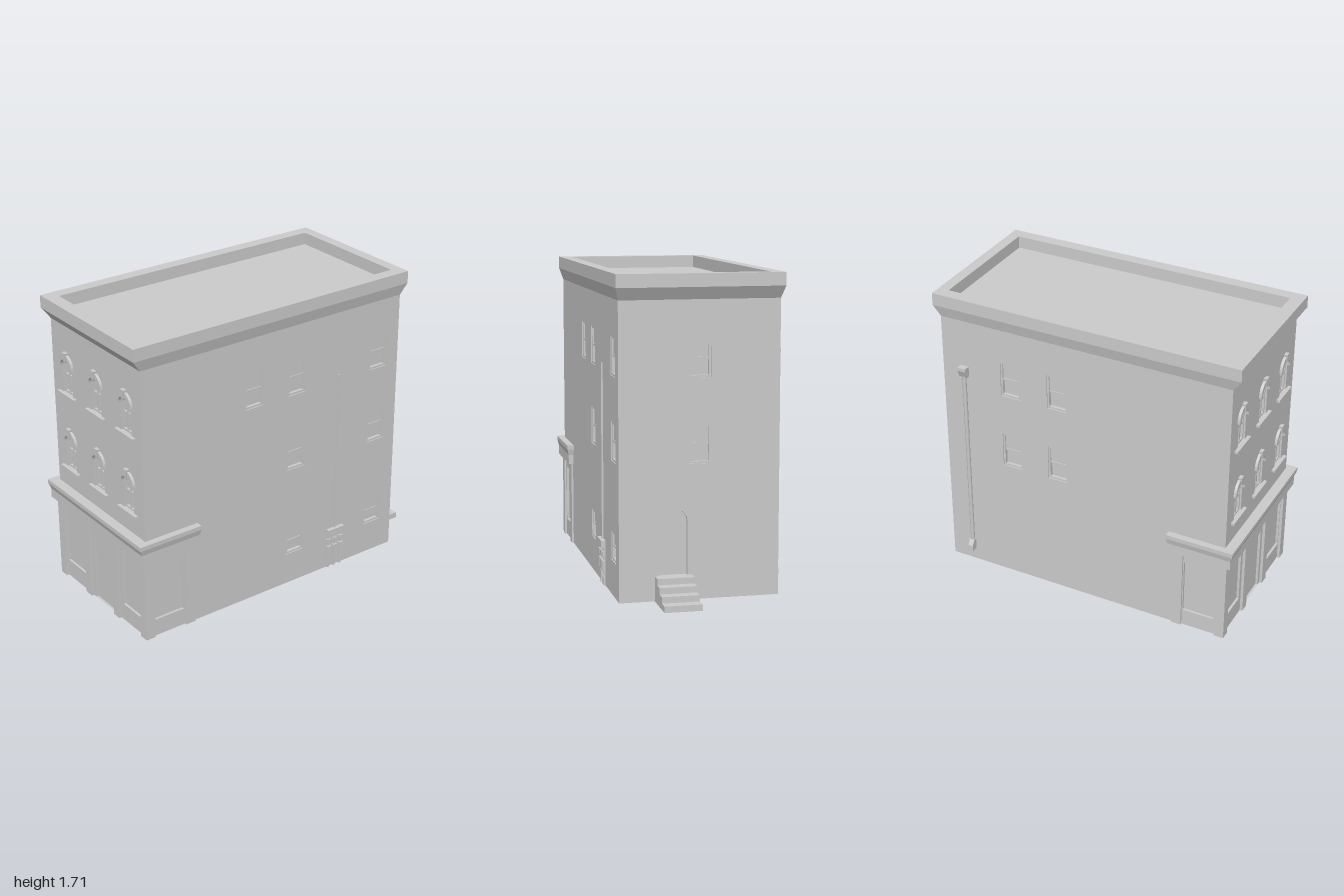
import * as THREE from 'three';

const mat = new THREE.MeshStandardMaterial({ color: 0xcccccc, side: THREE.DoubleSide });

function add(parent, name, geo, x = 0, y = 0, z = 0) {
  const m = new THREE.Mesh(geo, mat);
  m.name = name;
  m.position.set(x, y, z);
  parent.add(m);
  return m;
}

// Box given by its minimum and maximum on each axis
function block(parent, name, x0, x1, y0, y1, z0, z1) {
  return add(parent, name, new THREE.BoxGeometry(x1 - x0, y1 - y0, z1 - z0),
    (x0 + x1) / 2, (y0 + y1) / 2, (z0 + z1) / 2);
}

function poly(pts) {
  return new THREE.Shape(pts.map(p => new THREE.Vector2(p[0], p[1])));
}
const rect = (x0, x1, y0, y1) => poly([[x0, y0], [x1, y0], [x1, y1], [x0, y1]]);

// Round-headed opening: straight sides up to yc, half circle above
function arch(x, r, y0, yc) {
  const pts = [[x - r, y0], [x + r, y0]];
  for (let i = 0; i <= 14; i++) {
    const a = Math.PI * i / 14;
    pts.push([x + r * Math.cos(a), yc + r * Math.sin(a)]);
  }
  return poly(pts);
}

// Flat slab whose outer face lies at z = front
function slab(parent, name, shape, holes, depth, front = 0) {
  shape.holes = holes;
  return add(parent, name, new THREE.ExtrudeGeometry(shape, { depth, bevelEnabled: false }), 0, 0, front - depth);
}

// Skin through rectangular rings [x, zBack, zFront, y], with optional top cap
function loft(parent, name, rings, cap) {
  const pos = [];
  const corners = ([x, zb, zf, y]) => [[-x, y, zf], [x, y, zf], [x, y, zb], [-x, y, zb]];
  const quad = (a, b, c, d) => pos.push(...a, ...b, ...c, ...a, ...c, ...d);
  for (let i = 0; i + 1 < rings.length; i++) {
    const lo = corners(rings[i]), hi = corners(rings[i + 1]);
    for (let k = 0; k < 4; k++) quad(lo[k], lo[(k + 1) % 4], hi[(k + 1) % 4], hi[k]);
  }
  if (cap) quad(...corners(rings[rings.length - 1]));
  const g = new THREE.BufferGeometry();
  g.setAttribute('position', new THREE.Float32BufferAttribute(pos, 3));
  g.computeVertexNormals();
  return add(parent, name, g);
}

// Wall frame: local x runs along the wall, local z points outward
function side(parent, name, angle, x, z) {
  const g = new THREE.Group();
  g.name = name;
  g.rotation.y = angle;
  g.position.set(x, 0, z);
  parent.add(g);
  return g;
}

// Plain sash window set into its opening
function sashWindow(wall, x, y0, y1) {
  const w = 0.06, b = 0.011, ym = (y0 + y1) / 2;
  slab(wall, 'windowFrame', rect(x - w, x + w, y0, y1),
    [rect(x - w + b, x + w - b, y0 + b, y1 - b)], 0.02, -0.006);
  block(wall, 'upperPane', x - w + b, x + w - b, ym, y1 - b, -0.028, -0.015);
  block(wall, 'lowerPane', x - w + b, x + w - b, y0 + b, ym, -0.03, -0.024);
  block(wall, 'meetingRail', x - w + b, x + w - b, ym - 0.005, ym + 0.005, -0.025, -0.01);
}

// Wall with sash windows; list holds [x, y0, y1]
function windowWall(wall, outline, list, extraHoles = []) {
  const holes = list.map(([x, a, b]) => rect(x - 0.06, x + 0.06, a, b));
  slab(wall, 'wall', outline, holes.concat(extraHoles), 0.03);
  list.forEach(([x, a, b]) => sashWindow(wall, x, a, b));
}

// Arched window with hood, keystone, sill and glazing bars
function archedWindow(wall, x, y) {
  const yc = y + 0.158, r = 0.047;
  slab(wall, 'archedPane', arch(x, r, y, yc), [], 0.006, -0.024);
  slab(wall, 'archedSash', arch(x, r, y, yc), [arch(x, r - 0.008, y + 0.01, yc)], 0.018, -0.01);
  block(wall, 'glazingBar', x - 0.006, x + 0.006, y, yc + r - 0.005, -0.026, -0.012);
  block(wall, 'glazingBar', x - r, x + r, y + 0.1, y + 0.11, -0.026, -0.012);
  block(wall, 'sill', x - 0.086, x + 0.086, y - 0.014, y, -0.01, 0.02);
  const hood = [];
  for (let i = 0; i <= 14; i++) {
    const a = Math.PI * i / 14;
    hood.push([x + 0.068 * Math.cos(a), yc + 0.005 + 0.072 * Math.sin(a)]);
  }
  hood.push([x - 0.068, yc - 0.006], [x - r, yc - 0.006]);
  for (let i = 14; i >= 0; i--) {
    const a = Math.PI * i / 14;
    hood.push([x + r * Math.cos(a), yc + r * Math.sin(a)]);
  }
  hood.push([x + r, yc - 0.006], [x + 0.068, yc - 0.006]);
  slab(wall, 'archHood', poly(hood), [], 0.02, 0.015);
  slab(wall, 'keystone', poly([[x - 0.011, yc + 0.042], [x + 0.011, yc + 0.042],
    [x + 0.016, yc + 0.088], [x - 0.016, yc + 0.088]]), [], 0.022, 0.02);
}

// Shopfront bay: wall with inset panels [x0, x1, y0, y1] and pilasters [x0, x1]
function shopBay(wall, x0, x1, panels, pilasters, proud) {
  slab(wall, 'shopWall', rect(x0, x1, 0, 0.5), panels.map(p => rect(...p)), 0.02);
  panels.forEach(p => block(wall, 'shopPanel', ...p, -0.02, -0.014));
  pilasters.forEach(p => block(wall, 'pilaster', ...p, 0, 0.5, -0.015, proud));
}

export function createModel() {
  const model = new THREE.Group();
  model.name = 'building';
  const X = 0.43, ZF = 0.942, ZB = -0.77, TOP = 1.58;
  const rows = [[1.172, 1.378], [0.722, 0.928], [0.188, 0.343]];

  // Front wall above the shop
  const front = side(model, 'frontWall', 0, 0, ZF);
  const spots = [];
  for (const y of [1.18, 0.727]) for (const x of [-0.285, 0, 0.285]) spots.push([x, y]);
  slab(front, 'wall', rect(-X, X, 0.58, TOP), spots.map(([x, y]) => arch(x, 0.047, y, y + 0.158)), 0.03);
  spots.forEach(([x, y]) => archedWindow(front, x, y));

  // Side walls, notched for the shop
  const outline = s => poly([[s * ZB, 0], [s * 0.64, 0], [s * 0.64, 0.58], [s * ZF, 0.58], [s * ZF, TOP], [s * ZB, TOP]]);
  const left = side(model, 'leftWall', Math.PI / 2, X, 0);
  windowWall(left, outline(-1), [[-0.232, ...rows[0]],
    ...rows.map(r => [0.055, ...r]), ...rows.map(r => [0.627, ...r])]);
  const right = side(model, 'rightWall', -Math.PI / 2, -X, 0);
  windowWall(right, outline(1), rows.slice(0, 2).flatMap(r => [[-0.35, ...r], [-0.065, ...r]]));

  // Rear wall with arched door
  const back = side(model, 'rearWall', Math.PI, 0, ZB);
  windowWall(back, rect(-X, X, 0, TOP), rows.slice(0, 2).map(r => [0, ...r]), [arch(-0.14, 0.075, 0.134, 0.415)]);
  slab(back, 'rearDoor', arch(-0.14, 0.075, 0.134, 0.415), [], 0.008, -0.02);

  // Rear steps
  const steps = [[0, 0]];
  [0.06, 0.115, 0.17, 0.23].forEach((d, i) => {
    const h = 0.134 - i * 0.0335;
    steps.push([i ? steps[steps.length - 1][0] : 0, h], [d, h]);
  });
  steps.push([0.23, 0]);
  const stairs = slab(model, 'rearSteps', poly(steps), [], 0.2);
  stairs.rotation.y = Math.PI / 2;
  stairs.position.set(0.04, 0, ZB);

  // Roof cornice, parapet and roof deck
  loft(model, 'cornice', [[X, ZB, ZF, 1.575], [0.447, -0.807, 0.99, 1.64], [0.447, -0.807, 0.99, 1.71],
    [0.377, -0.745, 0.915, 1.71], [0.377, -0.745, 0.915, 1.64]], true);

  // Shopfront
  const shopFront = side(model, 'shopFront', 0, 0, ZF);
  shopBay(shopFront, -X, X, [[-0.38, -0.195, 0.1, 0.425], [-0.09, 0.09, 0, 0.375], [0.195, 0.38, 0.1, 0.425]],
    [[-0.44, -0.385], [-0.17, -0.115], [0.115, 0.17], [0.385, 0.44]], 0.016);
  for (const s of [1, -1]) {
    const bay = side(model, 'shopSide', s * Math.PI / 2, s * 0.428, 0);
    const span = (a, b) => s > 0 ? [-b, -a] : [a, b];
    shopBay(bay, ...span(0.64, ZF), [[...span(0.705, 0.89), 0.1, 0.425]],
      [span(0.64, 0.7), span(0.9, 0.958)], 0.012);
  }
  loft(model, 'shopCornice', [[0.43, 0.645, 0.945, 0.49], [0.46, 0.617, 0.985, 0.49], [0.46, 0.617, 0.985, 0.545],
    [0.468, 0.61, 0.998, 0.578], [0.468, 0.61, 0.998, 0.602]], true);

  // Utility meters and conduit on the left wall
  const meters = side(left, 'meters', 0, 0, 0);
  block(meters, 'meterCabinet', 0.285, 0.4, 0.213, 0.25, 0, 0.024);
  block(meters, 'conduit', 0.338, 0.346, 0.25, 1.21, 0, 0.01);
  for (const x of [0.298, 0.342, 0.386]) {
    block(meters, 'meterPipe', x - 0.007, x + 0.007, 0, 0.213, 0, 0.01);
    block(meters, 'meterValve', x - 0.014, x + 0.014, 0.163, 0.188, 0, 0.017);
    block(meters, 'meter', x - 0.014, x + 0.014, 0.09, 0.142, 0, 0.019);
  }

  // Drainpipe on the right wall
  const drain = side(right, 'drainpipe', 0, 0, 0);
  const px = -0.635;
  add(drain, 'pipe', new THREE.CylinderGeometry(0.012, 0.012, 1.12, 8), px, 0.69, 0.01);
  const head = slab(drain, 'rainwaterHead', poly([[0, 1.24], [0.02, 1.24], [0.036, 1.28], [0.036, 1.3], [0, 1.3]]), [], 0.05);
  const shoe = slab(drain, 'drainShoe', poly([[0, 0.075], [0.04, 0.075], [0.04, 0.112], [0.02, 0.145], [0, 0.145]]), [], 0.03);
  [[head, 0.025], [shoe, 0.015]].forEach(([m, w]) => {
    m.rotation.y = -Math.PI / 2;
    m.position.set(px + w, 0, 0);
  });
  return model;
}
